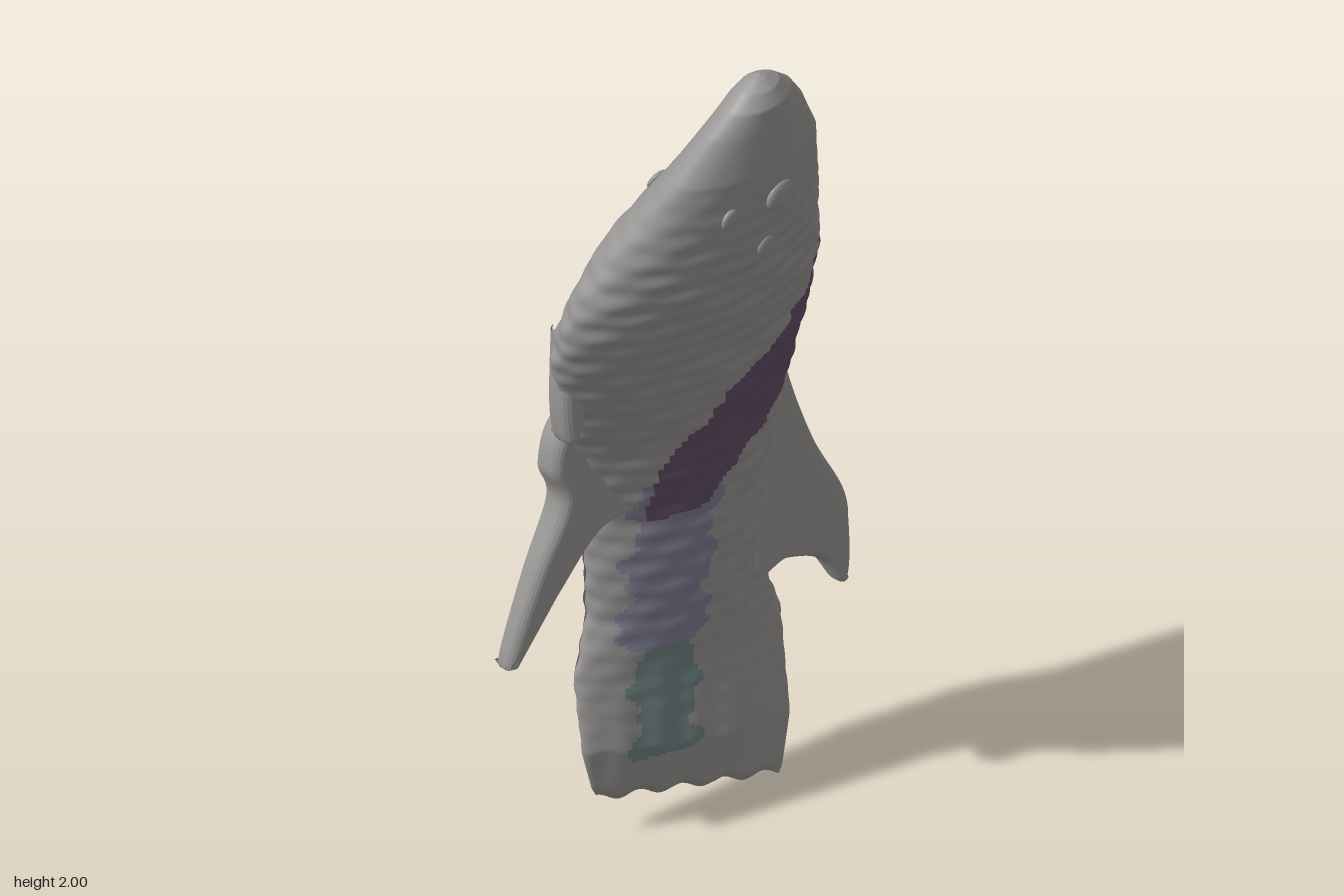
import * as THREE from 'three';

// Body sections from tail to snout: y, xMin, xMax, z centre, z half-depth, slant of z along x
const SECTIONS = [
  [0.065, -0.16, 0.235, -0.115, 0.002, 0.3],
  [0.085, -0.17, 0.24, -0.115, 0.022, 0.3],
  [0.2, -0.195, 0.25, -0.11, 0.042, 0.3],
  [0.4, -0.195, 0.245, -0.13, 0.06, 0.3],
  [0.53, -0.165, 0.205, -0.132, 0.078, 0.3],
  [0.8, -0.18, 0.195, -0.122, 0.097, 0.3],
  [1.0, -0.25, 0.2, -0.093, 0.1, 0.29],
  [1.2, -0.33, 0.2, -0.042, 0.112, 0.25],
  [1.3, -0.37, 0.2, -0.02, 0.118, 0.23],
  [1.4, -0.387, 0.19, 0.01, 0.125, 0.21],
  [1.5, -0.38, 0.165, 0.04, 0.127, 0.19],
  [1.6, -0.35, 0.14, 0.07, 0.127, 0.16],
  [1.7, -0.31, 0.11, 0.11, 0.11, 0.13],
  [1.8, -0.27, 0.08, 0.148, 0.088, 0.1],
  [1.9, -0.21, 0.03, 0.173, 0.063, 0.05],
  [1.95, -0.17, -0.005, 0.183, 0.052, 0],
  [1.98, -0.135, -0.04, 0.185, 0.034, 0],
  [1.995, -0.105, -0.07, 0.185, 0.014, 0],
  [2, -0.088, -0.087, 0.185, 0.001, 0],
];

function sectionAt(y) {
  let i = 0;
  while (i < SECTIONS.length - 2 && SECTIONS[i + 1][0] < y) i++;
  const a = SECTIONS[i], b = SECTIONS[i + 1];
  const t = THREE.MathUtils.clamp((y - a[0]) / (b[0] - a[0]), 0, 1);
  return a.map((v, k) => v + (b[k] - v) * t);
}

// Point on the ribbed skin at height y and angle a (0 = +x, 90 degrees = front)
function skin(y, a) {
  const [, x0, x1, zc, hz, slant] = sectionAt(y);
  const fade = THREE.MathUtils.clamp((1.85 - y) / 0.3, 0, 1) * THREE.MathUtils.clamp((y - 0.15) / 0.3, 0, 1);
  const rib = 1 + fade * (0.016 * Math.sin(y * 125 + 2 * Math.sin(a)) + 0.025 * Math.sin(a * 9 + y * 14) * Math.sin(y * 47));
  const pow = (v) => Math.sign(v) * Math.abs(v) ** 1.08;
  const dx = (x1 - x0) / 2 * pow(Math.cos(a)) * (1 + (rib - 1) * 0.4);
  const x = (x0 + x1) / 2 + dx;
  // Slanted, slightly ragged tail edge
  const k = THREE.MathUtils.clamp((0.42 - y) / 0.32, 0, 1);
  const yy = y - k * (0.24 * x - 0.008 * Math.sin(x * 70));
  const ray = 1 + 0.1 * k * Math.sin(x * 85);
  return new THREE.Vector3(x, yy, zc + hz * pow(Math.sin(a)) * rib * ray + slant * dx);
}

const COLORS = { body: 0x9b9997, purpleBand: 0x665069, lavenderBand: 0x858197, tealTailPatch: 0x748686 };

// Which coloured patch a place on the skin belongs to, with wavy borders
function patchAt(x, y, a) {
  const s = Math.sin(a), wave = 0.012 * Math.sin(y * 40) + 0.008 * Math.sin(y * 95);
  if (s > -0.2) {
    const half = Math.min(0.16, 0.08 + (x + 0.1));
    if (x > -0.11 && y < 1.36 && Math.abs(y - (0.98 + 1.15 * x)) < half + wave) return 'purpleBand';
    if (y > 0.45 && y < 0.9 && Math.abs(x + 0.05) < 0.075 + wave) return 'lavenderBand';
    if (y > 0.18 && y <= 0.45 && Math.abs(x + 0.04) < 0.06 + wave) return 'tealTailPatch';
  }
  if (x > 0.03 && y > 1.1 && ((y - 1.33) / 0.22) ** 2 + ((s + 0.25) / 0.75) ** 2 < 1) return 'purpleBand';
  if (s < -0.15 && y > 0.4 && y < 1.52) {
    const d = x - (0.1 - 0.28 * (1.4 - y)) + wave;
    if (Math.abs(d) < 0.075) return 'purpleBand';
    if (d > 0 && d < 0.19) return 'lavenderBand';
  }
  return 'body';
}

function addSkin(group) {
  const rows = 300, cols = 110, pos = [], all = [];
  const lists = Object.fromEntries(Object.keys(COLORS).map((n) => [n, []]));
  for (let r = 0; r <= rows; r++) {
    const y = 0.065 + 1.935 * Math.sin(r / rows * Math.PI / 2) ** 1.15;
    for (let c = 0; c < cols; c++) pos.push(...skin(y, c / cols * Math.PI * 2).toArray());
  }
  for (let r = 0; r < rows; r++) {
    for (let c = 0; c < cols; c++) {
      const a = r * cols + c, b = r * cols + (c + 1) % cols, d = a + cols, e = b + cols;
      const quad = [a, d, b, b, d, e];
      all.push(...quad);
      lists[patchAt(pos[a * 3], pos[a * 3 + 1], (c + 0.5) / cols * Math.PI * 2)].push(...quad);
    }
  }
  const whole = new THREE.BufferGeometry();
  whole.setAttribute('position', new THREE.Float32BufferAttribute(pos, 3));
  whole.setIndex(all);
  whole.computeVertexNormals();
  // The patches share the normals of the whole skin, so no seams show
  for (const [name, index] of Object.entries(lists)) {
    const g = new THREE.BufferGeometry();
    g.setAttribute('position', whole.attributes.position);
    g.setAttribute('normal', whole.attributes.normal);
    g.setIndex(index);
    const mesh = new THREE.Mesh(g, new THREE.MeshStandardMaterial({ color: COLORS[name] }));
    mesh.name = name;
    group.add(mesh);
  }
}

// Rounded fin from a smooth outline, laid on the plane z = base + slant * x
// and growing thicker away from its tip at x = tipX
function addFin(group, name, outline, { base, slant, thick, tipX, taper }, material) {
  const shape = new THREE.Shape();
  shape.moveTo(...outline[0]);
  shape.splineThru(outline.slice(1).map((p) => new THREE.Vector2(...p)));
  const bevel = thick * 0.35;
  const g = new THREE.ExtrudeGeometry(shape, {
    depth: thick - 2 * bevel, bevelThickness: bevel, bevelSize: bevel, bevelOffset: -bevel,
    bevelSegments: 4, curveSegments: 30,
  });
  const p = g.attributes.position;
  for (let i = 0; i < p.count; i++) {
    const x = p.getX(i), off = p.getZ(i) - thick / 2 + bevel;
    p.setZ(i, off * (1 + taper * Math.abs(x - tipX)) + base + slant * x);
  }
  g.computeVertexNormals();
  const mesh = new THREE.Mesh(g, material);
  mesh.name = name;
  group.add(mesh);
}

export function createModel() {
  const group = new THREE.Group();
  group.name = 'fish';
  const grey = new THREE.MeshStandardMaterial({ color: COLORS.body });
  addSkin(group);

  // Fins
  addFin(group, 'dorsalFin', [[0.13, 1.35], [0.2, 1.2], [0.235, 1], [0.3, 0.8], [0.375, 0.64], [0.388, 0.55],
    [0.388, 0.44], [0.37, 0.41], [0.32, 0.49], [0.23, 0.535], [0.14, 0.55], [0.12, 0.9]],
  { base: -0.117, slant: 0.235, thick: 0.045, tipX: 0.38, taper: 5 }, grey);
  addFin(group, 'analFin', [[-0.16, 1.15], [-0.27, 1.08], [-0.3, 0.98], [-0.28, 0.89], [-0.335, 0.74],
    [-0.39, 0.56], [-0.375, 0.54], [-0.29, 0.67], [-0.2, 0.8], [-0.12, 0.82]],
  { base: -0.1, slant: 0.27, thick: 0.042, tipX: -0.39, taper: 4 }, grey);
  addFin(group, 'pelvicFin', [[-0.34, 1.36], [-0.345, 1.2], [-0.335, 1.11], [-0.315, 1.088], [-0.3, 1.11],
    [-0.275, 1.2], [-0.25, 1.34]], { base: -0.11, slant: 0, thick: 0.06, tipX: -0.34, taper: 3 }, grey);

  // Eyes and cheek bumps on both flanks: height, angle, radius
  for (const side of [1, -1]) {
    for (const [y, angle, radius] of [[1.72, 1.42, 0.035], [1.71, 2.03, 0.024], [1.59, 1.45, 0.024]]) {
      const bump = new THREE.Mesh(new THREE.SphereGeometry(radius, 20, 14), grey);
      bump.scale.z = 0.35;
      bump.position.copy(skin(y, side * angle));
      bump.rotation.x = side > 0 ? 0.1 : 0.45;
      bump.name = radius > 0.03 ? 'eye' : 'cheekBump';
      group.add(bump);
    }
  }
  return group;
}
